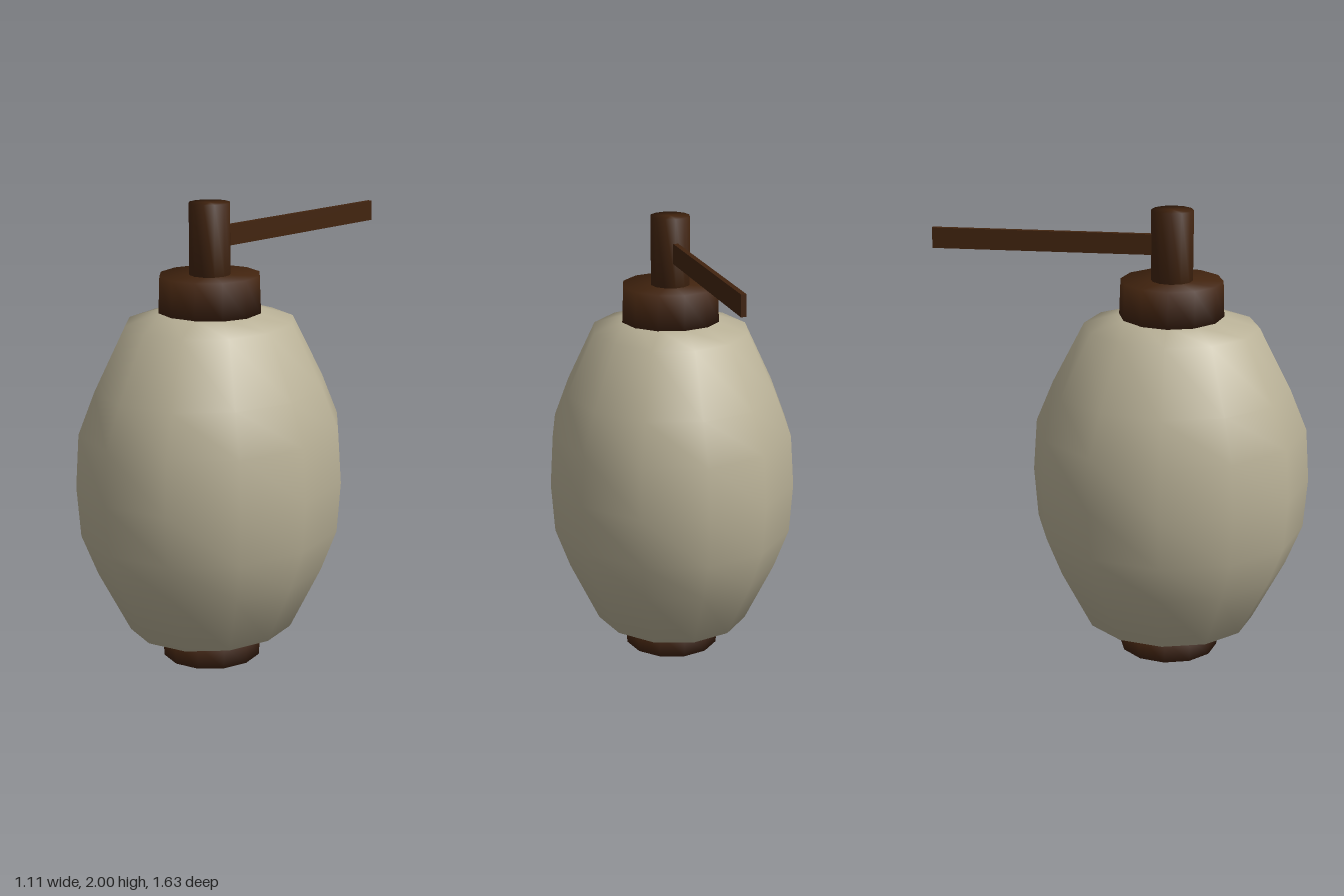
import * as THREE from 'three';

export function createModel() {
  const group = new THREE.Group();
  const paper = new THREE.MeshStandardMaterial({ color: 0xb8b096, side: THREE.DoubleSide });
  paper.name = 'cream paper';
  const wood = new THREE.MeshStandardMaterial({ color: 0x42240f, side: THREE.DoubleSide });
  wood.name = 'dark wood';
  const axisZ = 0.21;

  // Twelve-sided turned part around the lantern axis, slightly deeper than wide
  function turned(name, profile, depth, material) {
    const points = profile.map(([r, y]) => new THREE.Vector2(r, y));
    const mesh = new THREE.Mesh(new THREE.LatheGeometry(points, 12), material);
    mesh.name = name;
    mesh.scale.z = depth;
    mesh.position.z = axisZ;
    group.add(mesh);
  }

  // Paper shade
  turned('shade', [
    [0.2, 0.105], [0.345, 0.145], [0.475, 0.42], [0.54, 0.6], [0.555, 0.82],
    [0.54, 1.05], [0.472, 1.23], [0.345, 1.5], [0.2, 1.548],
  ], 1.093, paper);

  // Wooden collars and hanging post
  turned('bottomCap', [[0, 0], [0.213, 0], [0.218, 0.11], [0, 0.11]], 1.033, wood);
  turned('topCap', [[0, 1.54], [0.218, 1.54], [0.212, 1.7], [0, 1.7]], 1.033, wood);
  turned('post', [[0, 1.69], [0.087, 1.69], [0.087, 2], [0, 2]], 1.03, wood);

  // Flat bracket arm reaching back from the post
  const arm = new THREE.Mesh(new THREE.BoxGeometry(0.022, 0.088, 1), wood);
  arm.name = 'bracketArm';
  arm.position.set(0, 1.854, -0.315);
  arm.rotation.x = 0.006;
  group.add(arm);

  return group;
}
